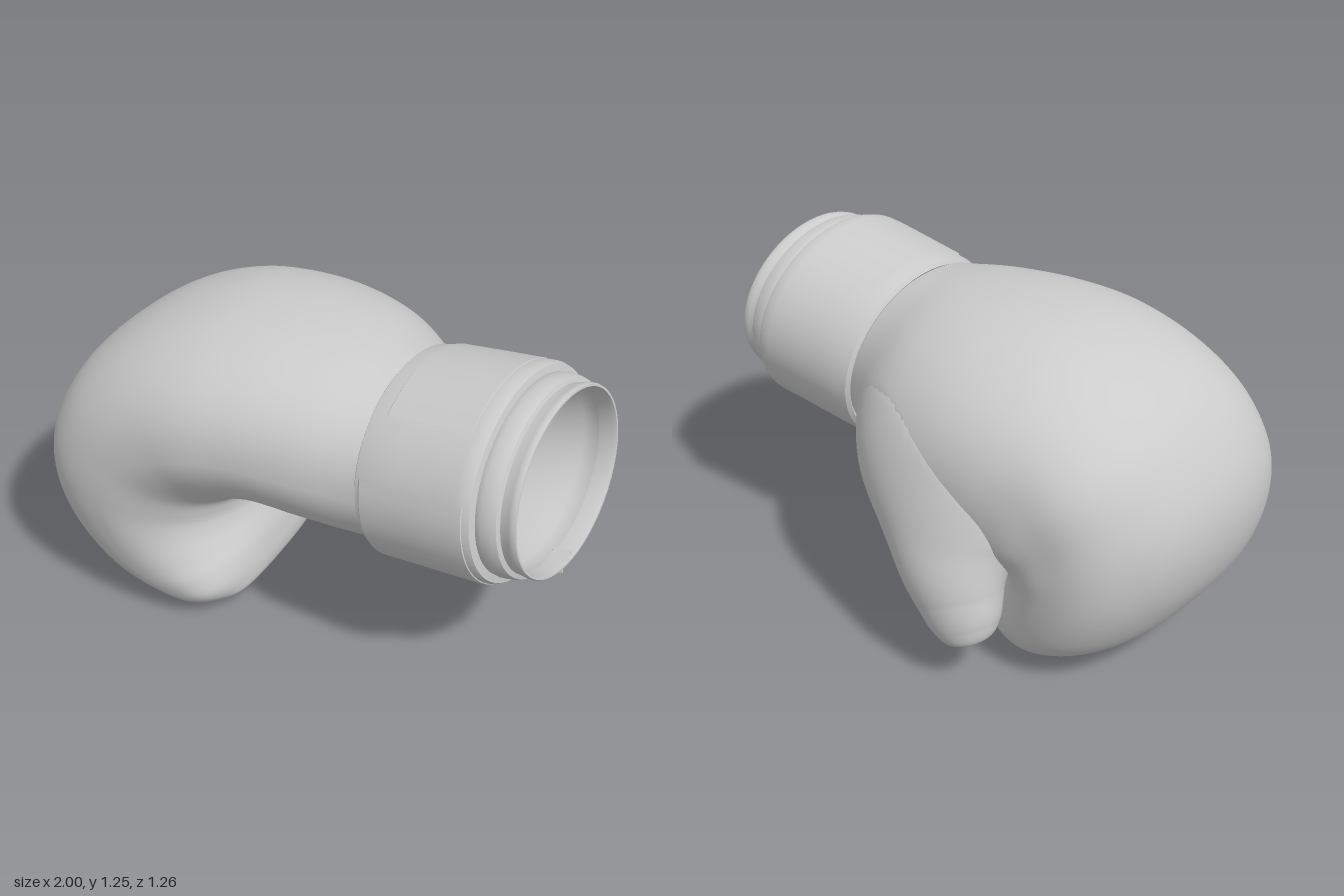
import * as THREE from 'three';
import { toCreasedNormals } from 'three/addons/utils/BufferGeometryUtils.js';

const material = new THREE.MeshStandardMaterial({ color: 0xcccccc, side: THREE.DoubleSide });
const V = (x, y, z = 0) => new THREE.Vector3(x, y, z);
const curve = (pts) => new THREE.CatmullRomCurve3(pts, false, 'catmullrom', 0.5);

function addMesh(parent, name, geometry) {
  const mesh = new THREE.Mesh(geometry, material);
  mesh.name = name;
  parent.add(mesh);
  return mesh;
}

// Smooth skin through rings; point(t, angle) gives a position on the surface
function loft(point, rings, sides) {
  const positions = [], index = [];
  for (let i = 0; i <= rings; i++) {
    for (let j = 0; j < sides; j++) {
      positions.push(...point(i / rings, (j / sides) * Math.PI * 2).toArray());
      if (i === rings) continue;
      const a = i * sides + j, b = i * sides + ((j + 1) % sides);
      index.push(a, a + sides, b, b, a + sides, b + sides);
    }
  }
  const g = new THREE.BufferGeometry();
  g.setAttribute('position', new THREE.Float32BufferAttribute(positions, 3));
  g.setIndex(index);
  g.computeVertexNormals();
  return g;
}

// Hand sections fan around the palm crease: outer x, y, inner x, y, back z, front z
const HAND = [
  [0.44, 1.14, 0.46, 0.52, -0.20, 0.52],
  [0.30, 1.165, 0.28, 0.49, -0.26, 0.54],
  [0.10, 1.20, 0.10, 0.495, -0.36, 0.58],
  [-0.15, 1.215, -0.08, 0.505, -0.45, 0.61],
  [-0.40, 1.19, -0.18, 0.48, -0.495, 0.63],
  [-0.65, 1.10, -0.225, 0.455, -0.50, 0.63],
  [-0.85, 0.95, -0.25, 0.43, -0.50, 0.63],
  [-0.97, 0.75, -0.255, 0.40, -0.48, 0.63],
  [-1.00, 0.55, -0.25, 0.37, -0.47, 0.62],
  [-0.95, 0.34, -0.24, 0.335, -0.455, 0.60],
  [-0.82, 0.15, -0.225, 0.295, -0.43, 0.575],
  [-0.65, 0.05, -0.21, 0.25, -0.40, 0.55],
  [-0.48, 0.005, -0.20, 0.195, -0.35, 0.51],
  [-0.36, 0.0, -0.195, 0.145, -0.26, 0.43],
  [-0.27, 0.03, -0.20, 0.10, -0.14, 0.33],
  [-0.22, 0.07, -0.22, 0.07, 0.10, 0.10],
];

function handGeometry() {
  const outer = curve(HAND.map((s) => V(s[0], s[1])));
  const inner = curve(HAND.map((s) => V(s[2], s[3])));
  const depth = curve(HAND.map((s) => V(s[4], s[5])));
  const step = THREE.MathUtils.smoothstep;
  return loft((t, a) => {
    const o = outer.getPoint(t), n = inner.getPoint(t), d = depth.getPoint(t);
    // fuller on the knuckles, hollower in the palm
    let c = Math.cos(a), s = Math.sin(a);
    const back = 2 + 0.45 * step(t, 0.25, 0.45);
    const palm = 1.85 + 0.5 * step(t, 0.5, 0.75);
    const power = 2 / (s < 0 ? back : c < 0 ? palm : 2.35);
    c = Math.sign(c) * Math.abs(c) ** power;
    s = Math.sign(s) * Math.abs(s) ** power;
    const p = n.clone().lerp(o, 0.5 + c / 2);
    p.z = (d.x + d.y) / 2 + (s * (d.y - d.x)) / 2;
    // knuckles lean towards the front side
    p.x -= 0.12 * (p.z - 0.2) * THREE.MathUtils.clamp((-p.x - 0.4) / 0.5, 0, 1);
    return p;
  }, 120, 96);
}

// Thumb: centre x, y, z and radius
const THUMB = [
  [0.15, 0.84, 0.04, 0.10],
  [0.08, 0.80, -0.08, 0.22],
  [0.0, 0.71, -0.23, 0.255],
  [-0.12, 0.57, -0.37, 0.215],
  [-0.20, 0.43, -0.465, 0.165],
  [-0.255, 0.32, -0.50, 0.135],
  [-0.29, 0.235, -0.515, 0.11],
  [-0.305, 0.19, -0.515, 0.075],
  [-0.315, 0.17, -0.515, 0],
];

function thumbGeometry() {
  const centre = curve(THUMB.map((s) => V(s[0], s[1], s[2])));
  const radius = curve(THUMB.map((s) => V(s[3], 0)));
  return loft((t, a) => {
    const d = centre.getTangent(t);
    const u = V(1, 0, 0).addScaledVector(d, -d.x).normalize();
    const v = u.clone().cross(d);
    const r = Math.max(0, radius.getPoint(t).x);
    const wide = 1 + 0.25 * Math.sin(Math.PI * t);
    return centre.getPoint(t)
      .addScaledVector(u, r * wide * Math.cos(a))
      .addScaledVector(v, r * Math.sin(a));
  }, 80, 64);
}

// For each vertex: its height above the nearest spot of the other skin
function heights(g, other) {
  const P = g.attributes.position.array, Q = other.attributes.position.array;
  const N = other.attributes.normal.array, result = [];
  for (let i = 0; i < P.length; i += 3) {
    let best = Infinity, k = 0;
    for (let j = 0; j < Q.length; j += 3) {
      const d = (P[i] - Q[j]) ** 2 + (P[i + 1] - Q[j + 1]) ** 2 + (P[i + 2] - Q[j + 2]) ** 2;
      if (d < best) { best = d; k = j; }
    }
    result.push((P[i] - Q[k]) * N[k] + (P[i + 1] - Q[k + 1]) * N[k + 1] + (P[i + 2] - Q[k + 2]) * N[k + 2]);
  }
  return result;
}

// Swell a skin where it nears the other one, so the web flows together
function swell(g, height, reach) {
  const P = g.attributes.position, N = g.attributes.normal;
  height.forEach((value, i) => {
    const h = Math.max(0, 1 - Math.abs(value) / reach);
    const lift = (h * h * reach / 4) * THREE.MathUtils.smoothstep(P.getY(i), 0.36, 0.6);
    P.setXYZ(i, P.getX(i) + N.getX(i) * lift, P.getY(i) + N.getY(i) * lift, P.getZ(i) + N.getZ(i) * lift);
  });
  g.computeVertexNormals();
}

// Hand shell and thumb, joined; the buried root of the thumb is left out
function handAndThumb() {
  const hand = handGeometry(), thumb = thumbGeometry();
  const handHeight = heights(hand, thumb), thumbHeight = heights(thumb, hand);
  swell(hand, handHeight, 0.26);
  swell(thumb, thumbHeight, 0.26);
  const all = thumb.index.array, kept = [];
  for (let i = 0; i < all.length; i += 3) {
    const tri = [all[i], all[i + 1], all[i + 2]];
    if (tri.some((v) => thumbHeight[v] > -0.1)) kept.push(...tri);
  }
  thumb.setIndex(kept);
  return [hand, thumb];
}

// Wrist frame: a unit lathe becomes the tilted oval cuff
const wrist = new THREE.Matrix4()
  .makeBasis(V(-0.12, 0.98, 0).multiplyScalar(0.36), V(1, 0.14, 0.08), V(0.1, 0, -1).multiplyScalar(0.41))
  .setPosition(0.385, 0.83, 0.155);

// Profile as [radius, distance along wrist]; angles in degrees, 90 is the top, 180 the front
function wristBand(profile, from = 0, to = 360) {
  const rad = THREE.MathUtils.degToRad;
  const g = new THREE.LatheGeometry(profile.map((p) => new THREE.Vector2(...p)),
    Math.ceil((to - from) / 6), rad(from), rad(to - from));
  return toCreasedNormals(g.applyMatrix4(wrist), 0.7);
}

export function createModel() {
  const glove = new THREE.Group();
  glove.name = 'boxingGlove';

  const [hand, thumb] = handAndThumb();
  addMesh(glove, 'hand', hand);
  addMesh(glove, 'thumb', thumb);

  // Padded cuff sleeve
  addMesh(glove, 'cuff', wristBand([
    [0.88, 0.01], [0.95, -0.005], [0.985, 0.005], [1.0, 0.04], [1.01, 0.15], [1.02, 0.3],
    [1.03, 0.38], [1.03, 0.41], [1.01, 0.43], [0.93, 0.435],
  ]));

  // Stepped collar and rolled rim
  addMesh(glove, 'collar', wristBand([
    [0.92, 0.42], [0.94, 0.435], [0.95, 0.455], [0.94, 0.49], [0.925, 0.505], [0.88, 0.51],
  ]));
  addMesh(glove, 'rim', wristBand([
    [0.88, 0.50], [0.885, 0.53], [0.895, 0.54], [0.90, 0.555], [0.89, 0.565], [0.87, 0.565],
    [0.86, 0.55], [0.86, 0.50],
  ]));

  // Lining of the opening, running into the hollow hand
  addMesh(glove, 'lining', wristBand([
    [0.86, 0.52], [0.88, 0.49], [0.88, 0.44], [0.86, 0.42], [0.86, 0.25], [0.85, 0.12], [0.89, 0.06],
  ]));

  // Closing strap flap round the front, and stitched panel on top
  addMesh(glove, 'strapFlap', wristBand([
    [1.0, 0.02], [1.025, 0.03], [1.035, 0.2], [1.045, 0.38], [1.04, 0.405], [1.01, 0.41],
  ], 162, 265));
  addMesh(glove, 'topPanel', wristBand([
    [1.0, 0.06], [1.017, 0.065], [1.027, 0.22], [1.034, 0.37], [1.01, 0.375],
  ], 54, 127));

  // Small loop tab at the bottom of the rim: a band held by two bars
  for (const [w, d, z] of [[0.06, 0.08, 0.225], [0.07, 0.012, 0.18], [0.07, 0.012, 0.27]]) {
    const tab = addMesh(glove, 'rimTab', new THREE.BoxGeometry(w, 0.022, d));
    tab.position.set(0.945, 0.592, z);
    tab.rotation.z = 0.13;
  }

  // Raised seams under the palm
  for (const z of [0.12, 0.18]) {
    const path = curve([V(0.02, 0.503, z), V(0.12, 0.492, z), V(0.22, 0.491, z), V(0.36, 0.5, z)]);
    addMesh(glove, 'palmSeam', new THREE.TubeGeometry(path, 16, 0.007, 6));
  }
  return glove;
}
